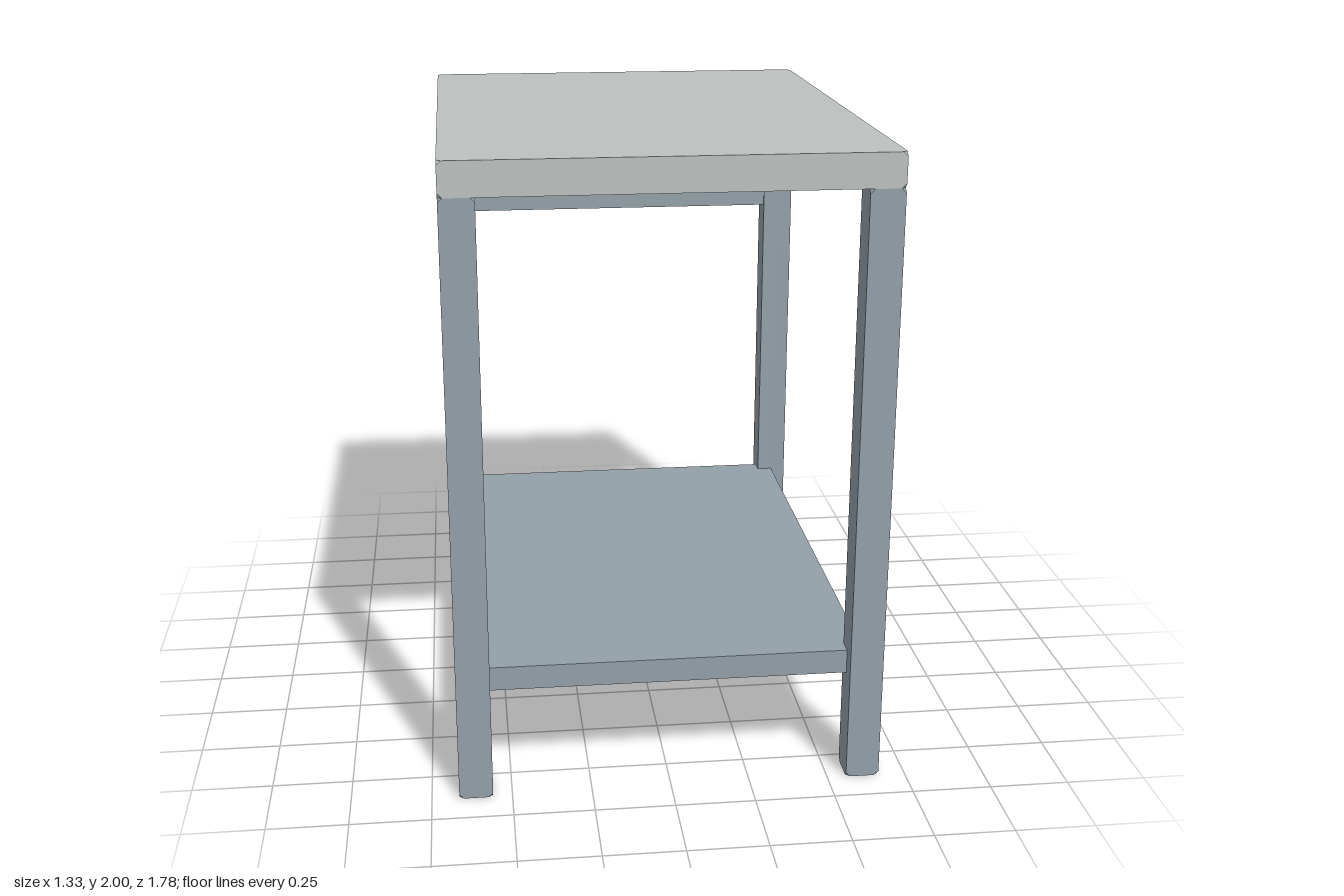
import * as THREE from 'three';
import { ConvexGeometry } from 'three/addons/geometries/ConvexGeometry.js';

// Box with its eight corners clipped off
function clippedBox(w, h, d, c) {
  const points = [];
  for (const sx of [-1, 1]) for (const sy of [-1, 1]) for (const sz of [-1, 1]) {
    const [x, y, z] = [sx * w / 2, sy * h / 2, sz * d / 2];
    points.push(
      new THREE.Vector3(x - sx * c, y, z),
      new THREE.Vector3(x, y - sy * c, z),
      new THREE.Vector3(x, y, z - sz * c));
  }
  return new ConvexGeometry(points);
}

export function createModel() {
  const group = new THREE.Group();
  const paleGrey = new THREE.MeshStandardMaterial({ color: 0xbcc2c0 });
  paleGrey.name = 'pale grey';
  const blueGrey = new THREE.MeshStandardMaterial({ color: 0x93a0a9 });
  blueGrey.name = 'blue grey';

  const W = 1.33, D = 1.78, LEG = 0.105, TOP = 0.105, CLIP = 0.014;

  function add(name, geometry, material, x, y, z) {
    const mesh = new THREE.Mesh(geometry, material);
    mesh.name = name;
    mesh.position.set(x, y, z);
    group.add(mesh);
  }

  // Table top
  add('tableTop', clippedBox(W, TOP, D, CLIP), paleGrey, 0, 2 - TOP / 2, 0);

  // Four corner legs
  const legHeight = 2 - TOP;
  const legGeometry = clippedBox(LEG, legHeight, LEG, CLIP);
  const lx = (W - LEG) / 2, lz = (D - LEG) / 2;
  for (const sx of [-1, 1]) for (const sz of [-1, 1]) {
    const name = (sz > 0 ? 'front' : 'back') + (sx > 0 ? 'Left' : 'Right') + 'Leg';
    add(name, legGeometry, blueGrey, sx * lx, legHeight / 2, sz * lz);
  }

  // Lower shelf, reaching the middle of each leg
  add('shelf', clippedBox(2 * lx, 0.077, 2 * lz, 0.008), blueGrey, 0, 0.381, 0);

  // Rail between the back legs
  add('backRail', new THREE.BoxGeometry(2 * lx, 0.12, 0.09), blueGrey, 0, 1.56, -lz);

  return group;
}
